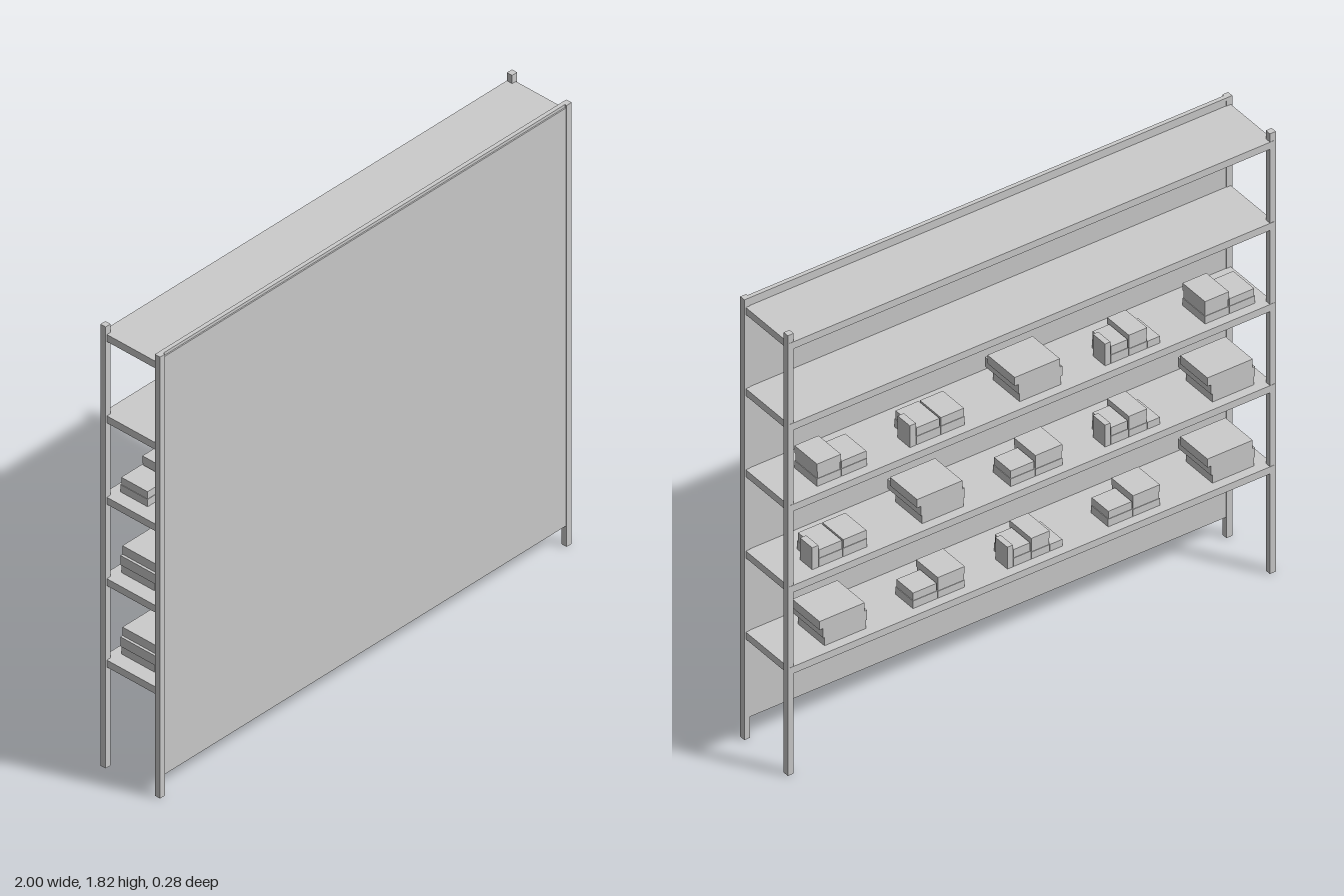
import * as THREE from 'three';

const material = new THREE.MeshStandardMaterial({ color: 0xcccccc });

// Box given by its minimum and maximum corners
function box(parent, name, [x0, y0, z0], [x1, y1, z1]) {
  const mesh = new THREE.Mesh(new THREE.BoxGeometry(x1 - x0, y1 - y0, z1 - z0), material);
  mesh.name = name;
  mesh.position.set((x0 + x1) / 2, (y0 + y1) / 2, (z0 + z1) / 2);
  parent.add(mesh);
}

// Pile of n equal cartons, [x, width, depth, height, n], set along the back edge of a shelf
const BACK = -0.102;
function pile(parent, [x, w, d, h, n]) {
  for (let i = 0; i < n; i++) {
    const inset = (i % 2) * 0.002;
    box(parent, 'carton', [x + inset, (h * i) / n, BACK + inset],
      [x + w - inset, (h * (i + 1)) / n, BACK + d - inset]);
  }
}

// Arrangements of goods, measured from their right end
const arrangements = {
  stack(g) {
    box(g, 'carton', [0.005, 0, BACK], [0.175, 0.034, 0.05]);
    box(g, 'carton', [0, 0.034, BACK], [0.18, 0.073, 0.09]);
    box(g, 'carton', [0.01, 0.073, BACK], [0.195, 0.108, 0.055]);
  },
  pair(g) {
    pile(g, [0, 0.11, 0.125, 0.085, 3]);
    pile(g, [0.112, 0.1, 0.1, 0.062, 2]);
  },
  steps(g) {
    pile(g, [0, 0.105, 0.125, 0.06, 2]);
    pile(g, [0.107, 0.098, 0.13, 0.092, 3]);
  },
  row(g) {
    for (let i = 0; i < 2; i++) pile(g, [i * 0.1, 0.098, 0.125, 0.068, 2]);
    pile(g, [0.2, 0.025, 0.07, 0.09, 1]);
  },
  trio(g) {
    pile(g, [0, 0.05, 0.125, 0.028, 1]);
    pile(g, [0.052, 0.075, 0.125, 0.085, 3]);
    pile(g, [0.129, 0.072, 0.11, 0.068, 2]);
    pile(g, [0.203, 0.022, 0.07, 0.09, 1]);
  },
};

export function createModel() {
  const model = new THREE.Group();
  model.name = 'shelvingUnit';

  // Four corner posts
  for (const sx of [-1, 1]) for (const sz of [-1, 1]) {
    const x = sx * 0.988, z = sz * 0.125;
    box(model, sz > 0 ? 'frontPost' : 'backPost',
      [x - 0.012, 0, z - 0.012], [x + 0.012, 1.817, z + 0.012]);
  }

  // Closing panel at the front with a set-back rail along its top
  box(model, 'frontPanel', [-0.978, 0.085, 0.115], [0.978, 1.805, 0.134]);
  box(model, 'topRail', [-0.978, 1.805, 0.113], [0.978, 1.817, 0.129]);

  // Five shelves, from the bottom up
  const tops = [0, 1, 2, 3, 4].map((i) => 0.443 + i * 0.335);
  for (const y of tops) box(model, 'shelf', [-0.994, y - 0.029, -0.138], [0.994, y, 0.118]);

  // Goods on the three lower shelves, from left to right
  const slots = [0.65, 0.25, -0.15, -0.55, -0.94];
  const layout = [
    ['stack', 'pair', 'trio', 'pair', 'stack'],
    ['row', 'stack', 'pair', 'trio', 'stack'],
    ['steps', 'row', 'stack', 'trio', 'steps'],
  ];
  layout.forEach((kinds, level) => kinds.forEach((kind, i) => {
    const goods = new THREE.Group();
    goods.name = kind + 'OfCartons';
    goods.position.set(slots[i], tops[level], 0);
    arrangements[kind](goods);
    model.add(goods);
  }));

  return model;
}
